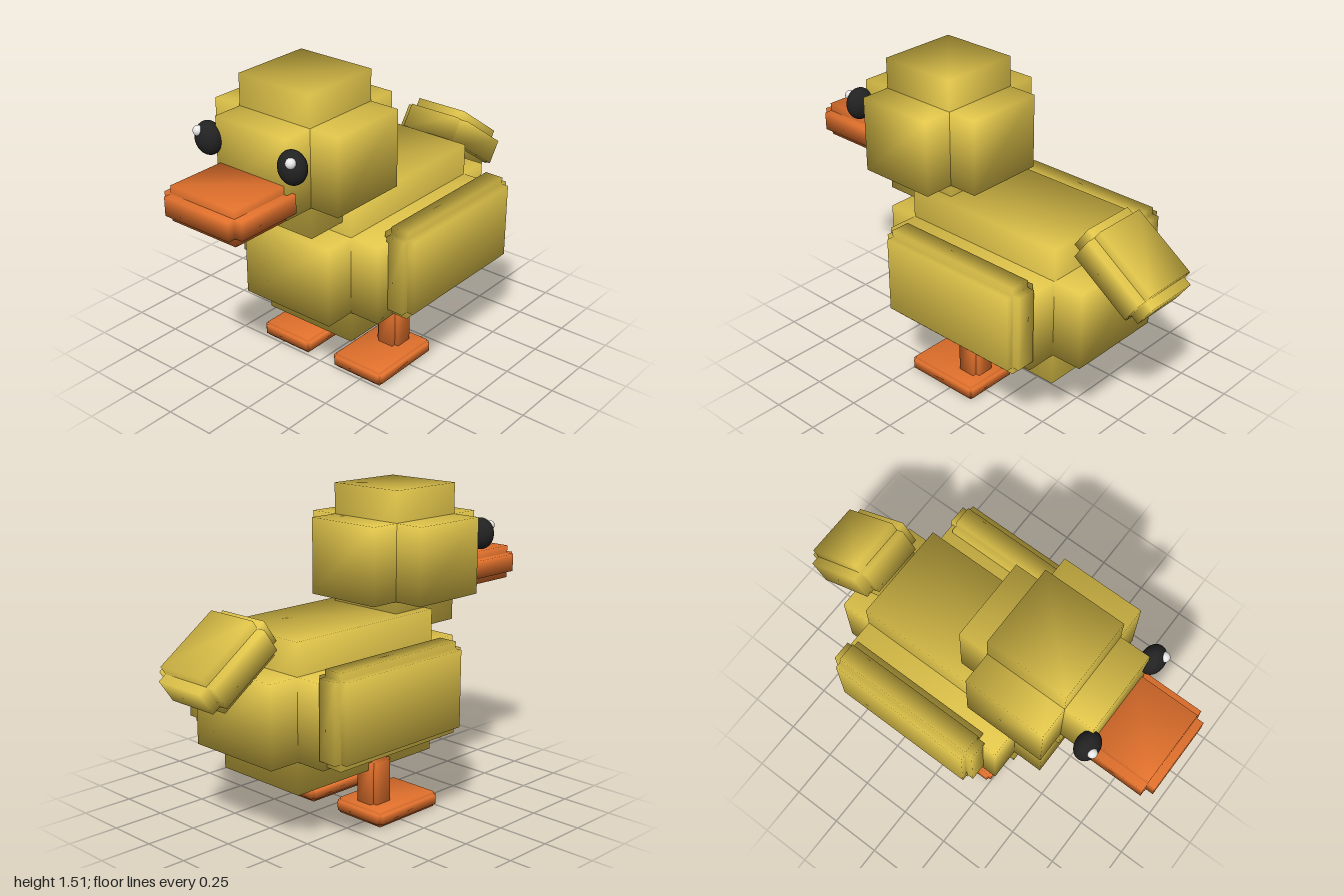
import * as THREE from 'three';
import { mergeVertices, mergeGeometries } from 'three/addons/utils/BufferGeometryUtils.js';

const material = (name, color) => {
  const m = new THREE.MeshStandardMaterial({ color });
  m.name = name;
  return m;
};

// Box with shared corners, so its normals are smooth
function softBox(w, h, d) {
  const g = new THREE.BoxGeometry(w, h, d);
  g.deleteAttribute('normal');
  g.deleteAttribute('uv');
  const s = mergeVertices(g);
  s.computeVertexNormals();
  return s;
}

// Stepped block: three crossed boxes, each full length along one axis
function steppedBlock(half, inset) {
  const boxes = [0, 1, 2].map((axis) =>
    softBox(...half.map((h, i) => 2 * (i === axis ? h : h - inset))));
  return mergeGeometries(boxes);
}

export function createModel() {
  const duck = new THREE.Group();
  duck.name = 'duck';
  const yellow = material('yellow feathers', 0xe0c44a);
  const orange = material('orange beak and legs', 0xe0702c);
  const black = material('black eye', 0x222222);
  const white = material('white highlight', 0xffffff);

  const add = (name, geometry, mat, x, y, z) => {
    const mesh = new THREE.Mesh(geometry, mat);
    mesh.name = name;
    mesh.position.set(x, y, z);
    duck.add(mesh);
    return mesh;
  };

  // Body, head and beak
  add('body', steppedBlock([0.405, 0.348, 0.588], 0.155), yellow, 0, 0.592, -0.118);
  add('head', steppedBlock([0.35, 0.332, 0.35], 0.149), yellow, 0, 1.18, 0.32);
  add('beak', steppedBlock([0.222, 0.082, 0.2], 0.038), orange, 0, 1.068, 0.8);

  // Tail slopes down toward the back
  const tail = add('tail', steppedBlock([0.182, 0.106, 0.218], 0.045), yellow, 0, 0.853, -0.778);
  tail.rotation.x = THREE.MathUtils.degToRad(-35);

  // Mirrored parts
  for (const [side, s] of [['left', 1], ['right', -1]]) {
    add(side + 'Wing', steppedBlock([0.081, 0.218, 0.402], 0.034), yellow, s * 0.441, 0.628, -0.157);
    add(side + 'Leg', steppedBlock([0.063, 0.135, 0.065], 0.021), orange, s * 0.221, 0.165, -0.044);
    add(side + 'Foot', steppedBlock([0.146, 0.0375, 0.2], 0.015), orange, s * 0.222, 0.0375, 0.047);

    const eye = add(side + 'Eye', new THREE.SphereGeometry(1, 24, 16), black, s * 0.24, 1.254, 0.675);
    eye.scale.set(0.07, 0.077, 0.055);
    add(side + 'EyeHighlight', new THREE.SphereGeometry(0.024, 16, 12), white, s * 0.265, 1.292, 0.713);
  }
  return duck;
}
